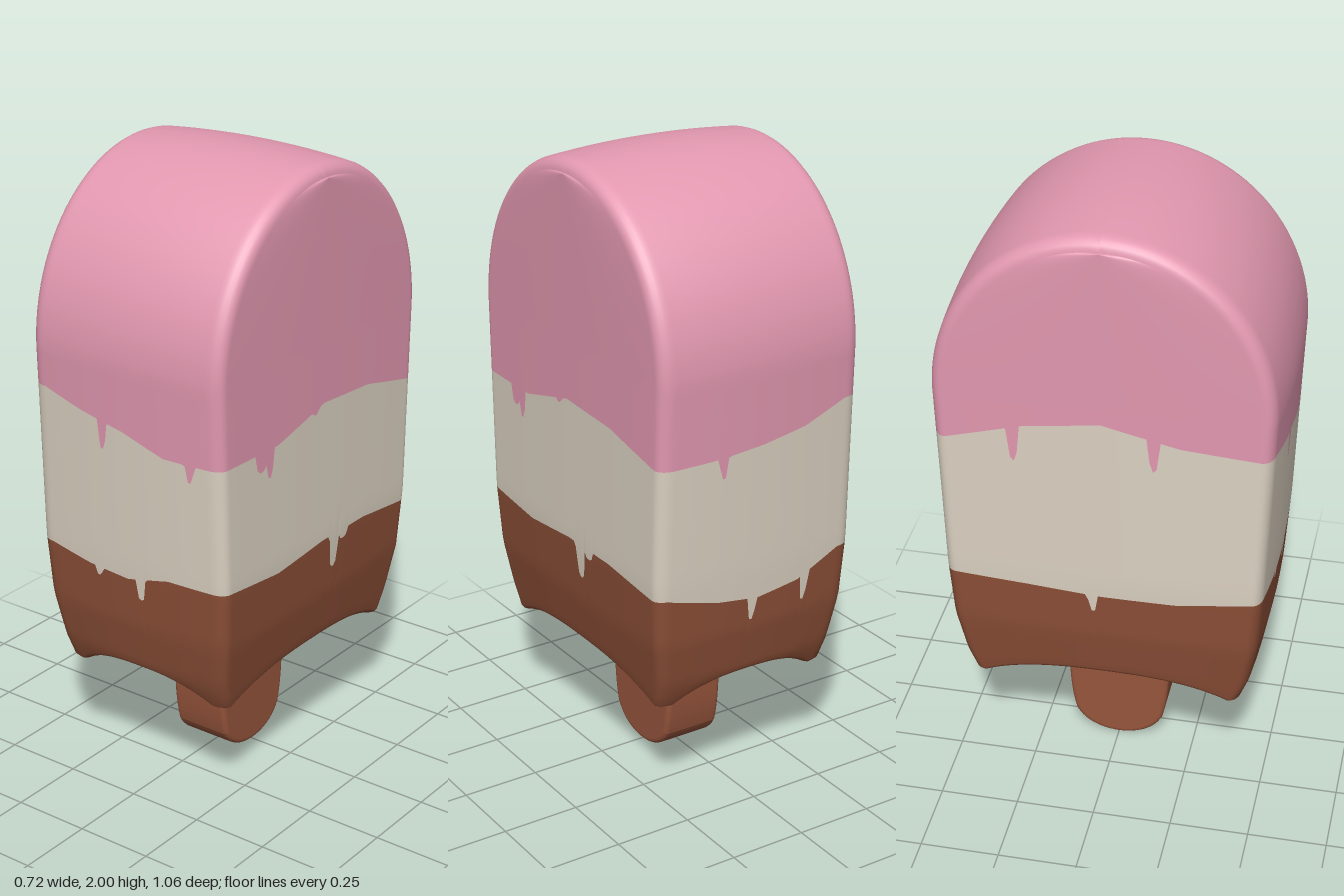
import * as THREE from 'three';

const mat = (name, color) => {
  const m = new THREE.MeshStandardMaterial({ color });
  m.name = name;
  return m;
};

// Piecewise linear lookup in [[position, value], ...] with rising positions
function along(points, s) {
  if (s <= points[0][0]) return points[0][1];
  for (let i = 1; i < points.length; i++) {
    const [a, va] = points[i - 1], [b, vb] = points[i];
    if (s <= b) return va + (vb - va) * (s - a) / (b - a);
  }
  return points[points.length - 1][1];
}

// Half width and half depth of the body by height
const HALF_X = [[0.36, 0.305], [0.6, 0.342], [0.8, 0.353], [2, 0.347]];
const HALF_Z = [[0.36, 0.435], [0.45, 0.468], [0.6, 0.495], [0.8, 0.508], [1.43, 0.53]];
const DOME = 1.43, DOME_H = 0.57, ROUND = 0.05;

// A layer's lower edge across a face: evenly spaced wave heights, minus rounded drips [place, tip, half width]
const edge = (half, waves, ...drips) => t => {
  const wave = along(waves.map((v, i) => [i / 2 - 1, v]), t);
  return drips.reduce((y, [place, tip, w = 0.018]) => {
    const k = Math.min(1, Math.abs(t * half - place) / w);
    return Math.min(y, tip + (wave - tip) * k ** 4);
  }, wave);
};

// Faces with their outward direction; edges read left to right from outside
const front = { n: [0, 1], steps: 64,
  pink: edge(0.35, [1.31, 1.27, 1.24, 1.19, 1.19], [-0.09, 1.165], [0.28, 1.135]),
  cream: edge(0.35, [0.79, 0.765, 0.755, 0.79, 0.79], [-0.135, 0.735], [0.055, 0.695, 0.022]) };
const left = { n: [1, 0], steps: 90,
  pink: edge(0.52, [1.19, 1.19, 1.25, 1.235, 1.18], [-0.35, 1.13, 0.03], [-0.305, 1.1, 0.022], [-0.05, 1.225]),
  cream: edge(0.52, [0.79, 0.77, 0.793, 0.79, 0.76], [0.075, 0.68, 0.03], [0.13, 0.76, 0.03]) };
const back = { n: [0, -1], steps: 64,
  pink: edge(0.35, [1.18, 1.185, 1.2, 1.225, 1.28], [-0.16, 1.12]),
  cream: edge(0.35, [0.755, 0.715, 0.695, 0.715, 0.785], [-0.025, 0.625], [0.205, 0.64]) };
const right = { n: [-1, 0], steps: 90,
  pink: edge(0.52, [1.28, 1.35, 1.385, 1.33, 1.31], [-0.29, 1.225], [0.175, 1.24]),
  cream: edge(0.52, [0.785, 0.775, 0.76, 0.76, 0.79], [-0.03, 0.7]) };

// Columns round the body: core position, outward direction and layer edges
function makeColumns() {
  const columns = [], CORNER = 6;
  for (const f of [front, left, back, right]) {
    const [nx, nz] = f.n;
    const column = (t, n) => columns.push({
      cx: nx + nz * t, cz: nz - nx * t, n,
      bottom: 0.45 - 0.075 * Math.abs(t) ** 2.5,
      cream: f.cream(t), pink: f.pink(t),
    });
    for (let i = 0; i <= f.steps; i++) column(i / f.steps * 2 - 1, f.n);
    for (let i = 1; i < CORNER; i++) {
      const a = i / CORNER * Math.PI / 2, c = Math.cos(a), s = Math.sin(a);
      column(1, [nx * c + nz * s, nz * c - nx * s]);
    }
  }
  return columns;
}

// Surface point for a column at a height, or at an angle up the dome
function bodyPoint({ cx, cz, n: [nx, nz] }, y, angle = 0) {
  const rho = 1 - ROUND / 0.53 * (1 - Math.abs(nz)) - 0.025 * cx ** 2 * Math.abs(nz);
  const x = (along(HALF_X, y) - ROUND) * cx + ROUND * nx + 0.008 * nx * (1 - cz ** 2);
  const z = along(HALF_Z, y) * rho * cz * Math.cos(angle);
  return [x, y + DOME_H * rho * Math.sin(angle), z];
}

function makeBody(materials) {
  const columns = makeColumns(), N = columns.length;
  const rows = [], bands = [];
  const between = (a, b, steps, from) => {
    for (let i = from; i <= steps; i++) rows.push(c => bodyPoint(c, c[a] + (c[b] - c[a]) * i / steps));
  };
  // Arched underside with a rounded lip, then the lowest layer
  for (const s of [0, 0.3, 0.55, 0.75, 0.88, 0.95, 0.985]) rows.push(c => {
    const [x, y, z] = bodyPoint(c, c.bottom);
    return [x * s, 0.43 + (y - 0.448) * s ** 3 + 0.24 * Math.max(0, s - 0.95), z * s];
  });
  between('bottom', 'cream', 12, 0);
  bands.push(rows.length - 1);
  // Middle layer
  between('cream', 'pink', 12, 1);
  bands.push(rows.length - 1);
  // Top layer and dome
  for (let i = 1; i <= 8; i++) rows.push(c => bodyPoint(c, c.pink + (DOME - c.pink) * i / 8));
  for (let i = 1; i <= 32; i++) rows.push(c => bodyPoint(c, DOME, i / 32 * Math.PI / 2));
  bands.push(rows.length - 1);

  const position = rows.flatMap(row => columns.flatMap(c => row(c))), index = [];
  const geo = new THREE.BufferGeometry();
  let start = 0;
  for (let r = 0; r < rows.length - 1; r++) {
    for (let i = 0; i < N; i++) {
      const a = r * N + i, b = r * N + (i + 1) % N;
      index.push(a, b, b + N, a, b + N, a + N);
    }
    const layer = bands.indexOf(r + 1);
    if (layer >= 0) {
      geo.addGroup(start, index.length - start, layer);
      start = index.length;
    }
  }
  geo.setAttribute('position', new THREE.Float32BufferAttribute(position, 3));
  geo.setIndex(index);
  geo.computeVertexNormals();
  const mesh = new THREE.Mesh(geo, materials);
  mesh.name = 'layeredIce';
  return mesh;
}

// Flat stick with a rounded lower end
function makeStick(material) {
  const b = 0.015, s = new THREE.Shape();
  s.moveTo(-0.15, 0.46);
  s.lineTo(-0.152, 0.27);
  s.bezierCurveTo(-0.15, 0.2, -0.145, 0.14, -0.13, 0.085);
  s.bezierCurveTo(-0.105, 0.035, -0.05, b, 0, b);
  s.bezierCurveTo(0.05, b, 0.105, 0.035, 0.13, 0.085);
  s.bezierCurveTo(0.145, 0.14, 0.15, 0.2, 0.152, 0.27);
  s.lineTo(0.15, 0.46);
  const geo = new THREE.ExtrudeGeometry(s, {
    depth: 0.17, bevelSize: b, bevelThickness: b, bevelSegments: 3, curveSegments: 10,
  });
  geo.translate(0, 0, -0.085).rotateY(Math.PI / 2);
  const mesh = new THREE.Mesh(geo, material);
  mesh.name = 'stick';
  return mesh;
}

export function createModel() {
  const group = new THREE.Group();
  group.name = 'icePop';
  group.add(
    makeBody([mat('chocolateBrown', 0x8c4f37), mat('vanillaCream', 0xdbd1c1), mat('strawberryPink', 0xe298b0)]),
    makeStick(mat('stickBrown', 0x97553c)),
  );
  return group;
}
